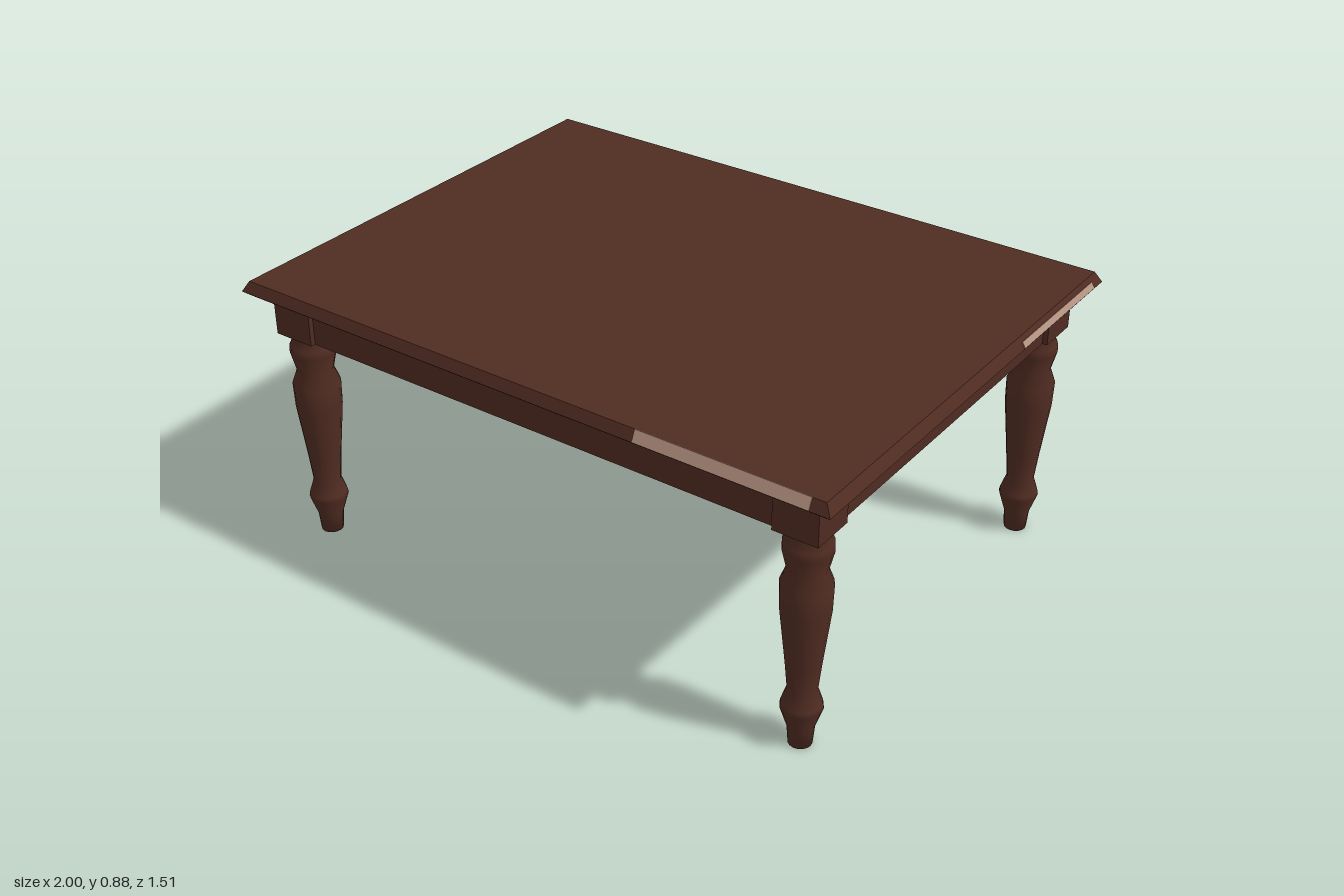
import * as THREE from 'three';

export function createModel() {
  const table = new THREE.Group();
  table.name = 'table';
  const wood = new THREE.MeshStandardMaterial({ color: 0x502c22 });
  wood.name = 'dark wood';
  const worn = new THREE.MeshStandardMaterial({ color: 0xb3917f });
  worn.name = 'worn wood';

  const add = (name, geometry, material, x = 0, y = 0, z = 0) => {
    const mesh = new THREE.Mesh(geometry, material);
    mesh.name = name;
    mesh.position.set(x, y, z);
    table.add(mesh);
    return mesh;
  };
  const box = (name, w, h, d, x, y, z, material = wood) =>
    add(name, new THREE.BoxGeometry(w, h, d), material, x, y, z);
  const profile = (pairs, scale = 1) => pairs.map(([r, y]) => new THREE.Vector2(r * scale, y));

  // Tabletop: a four-sided turned profile gives the bevelled edge
  const topProfile = profile([[0, 0.832], [0.98, 0.832], [1, 0.845], [0.98, 0.878], [0, 0.878]], Math.SQRT2);
  const top = new THREE.LatheGeometry(topProfile, 4, Math.PI / 4).toNonIndexed();
  top.scale(1, 1, 0.755);
  top.computeVertexNormals();
  add('tabletop', top, wood);

  // Turned legs with square blocks at the top
  const legProfile = profile([
    [0, 0], [0.034, 0], [0.039, 0.06], [0.06, 0.125], [0.057, 0.14], [0.042, 0.185], [0.05, 0.27],
    [0.07, 0.45], [0.072, 0.53], [0.055, 0.575], [0.069, 0.635], [0.068, 0.66], [0.054, 0.685], [0.066, 0.72],
  ]);
  const leg = new THREE.LatheGeometry(legProfile, 16);
  for (const sx of [-1, 1]) {
    for (const sz of [-1, 1]) {
      add('leg', leg, wood, sx * 0.867, 0, sz * 0.627);
      box('legBlock', 0.138, 0.133, 0.138, sx * 0.867, 0.767, sz * 0.627);
    }
  }

  // Aprons between the legs
  for (const s of [-1, 1]) {
    box('longApron', 1.66, 0.134, 0.06, 0, 0.767, s * 0.65);
    box('shortApron', 0.06, 0.134, 1.18, s * 0.89, 0.767, 0);
  }

  // Worn patches lying on the bevelled edges and inside one apron
  box('frontWornEdge', 0.53, 0.036, 0.006, 0.675, 0.862, 0.747, worn).rotation.x = -0.42;
  box('sideWornEdge', 0.006, 0.02, 0.44, 0.994, 0.855, -0.48, worn).rotation.z = 0.54;
  box('cornerWornEdge', 0.006, 0.024, 0.07, -0.992, 0.859, 0.655, worn).rotation.z = -0.54;
  box('apronWornPatch', 0.006, 0.03, 0.16, -0.859, 0.73, -0.26, worn);

  return table;
}
